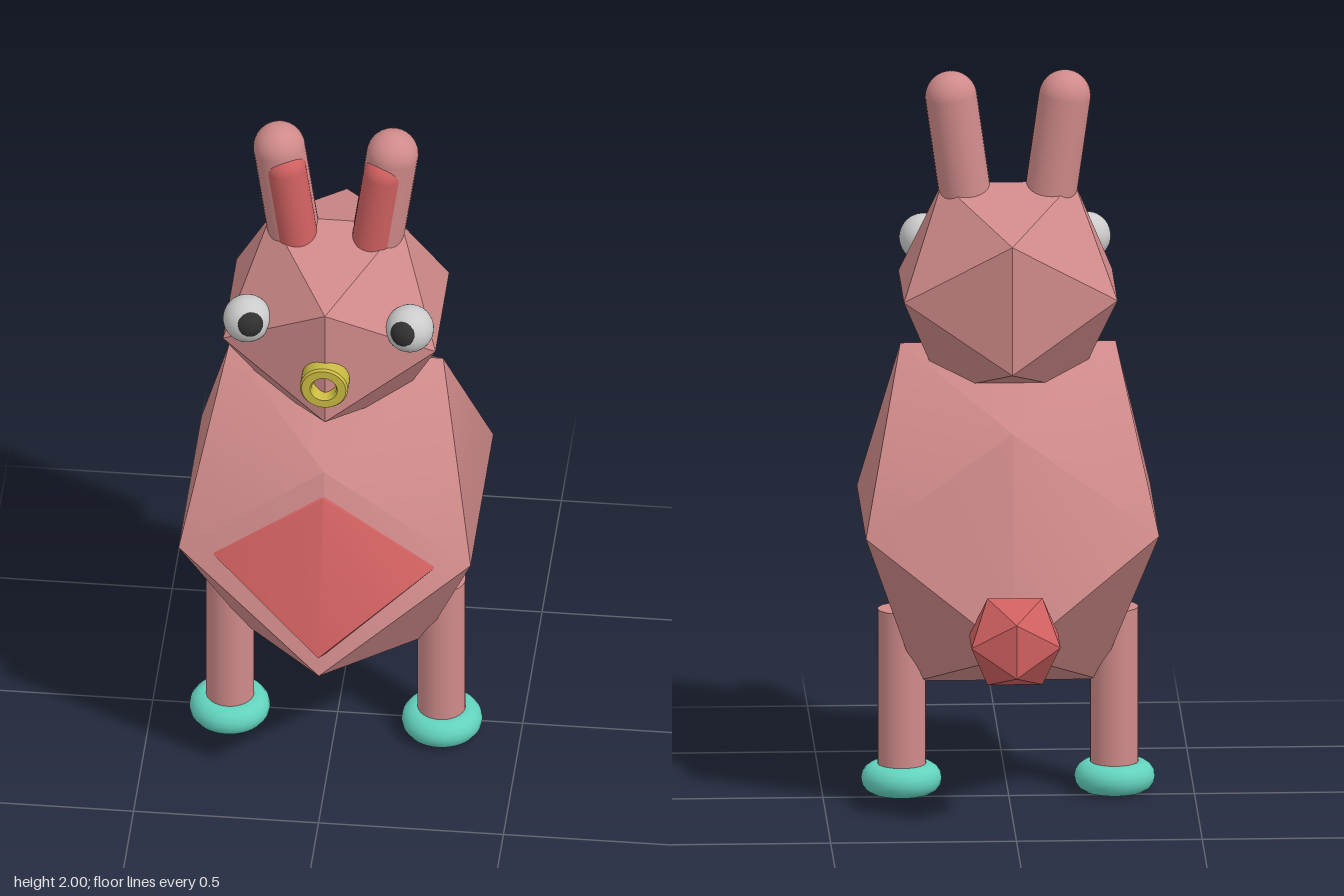
import * as THREE from 'three';
import { toCreasedNormals } from 'three/addons/utils/BufferGeometryUtils.js';

const mat = (color, flatShading = false) => new THREE.MeshStandardMaterial({ color, flatShading });
const PINK = 0xd08a8a, RED = 0xd06060, TEAL = 0x62d2bd, YELLOW = 0xcabb42;
const Z = 0.047; // depth of the body axis

// Icosahedron whose five vertex levels each get their own width and depth
function bodyGeometry() {
  const width = [0.244, 0.244, 0.244, 0.244, 0.29];
  const depth = [0.295, 0.275, 0.295, 0.188, 0.295];
  const geo = new THREE.IcosahedronGeometry(Math.hypot(1, 1.618), 0);
  const p = geo.attributes.position;
  for (let i = 0; i < p.count; i++) {
    const level = Math.round(p.getY(i)) + 2;
    p.setXYZ(i, p.getX(i) * width[level], p.getY(i) * 0.29, p.getZ(i) * depth[level]);
  }
  return toCreasedNormals(geo, 0.6);
}

export function createModel() {
  const model = new THREE.Group();
  const add = (name, geo, material, x, y, z) => {
    const mesh = new THREE.Mesh(geo, material);
    mesh.name = name;
    mesh.position.set(x, y, z);
    model.add(mesh);
    return mesh;
  };

  // Body and the smaller copy that pokes out as the belly patch
  const body = bodyGeometry();
  add('body', body, mat(PINK), 0, 0.78, Z);
  add('bellyPatch', body, mat(RED), 0, 0.78, 0.075).scale.set(0.755, 0.745, 0.98);

  // Head and tail
  add('head', new THREE.IcosahedronGeometry(0.338, 0), mat(PINK, true), 0, 1.405, Z);
  add('tail', new THREE.IcosahedronGeometry(0.141, 0), mat(RED, true), 0, 0.53, -0.397);

  // Ring-shaped snout
  const ring = [[0.033, 0], [0.065, 0], [0.065, 0.046], [0.06, 0.053], [0.037, 0.053], [0.033, 0.046], [0.033, 0]];
  const snout = new THREE.LatheGeometry(ring.map(([r, h]) => new THREE.Vector2(r, h)), 32);
  snout.rotateX(Math.PI / 2);
  add('snout', toCreasedNormals(snout, 0.6), mat(YELLOW), 0, 1.36, 0.313);

  // Capsule running between two heights along the tilted ear axis
  const ear = (name, side, radius, low, high, shift, z, color) => {
    const axisX = (y) => 0.153 + (y - 1.93) * 0.14 + shift;
    const length = Math.hypot(high - low, axisX(high) - axisX(low));
    const mid = (low + high) / 2;
    add(name, new THREE.CapsuleGeometry(radius, length, 10, 28), mat(color), side * axisX(mid), mid, z)
      .rotation.z = -side * Math.atan(0.14);
  };

  for (const side of [1, -1]) {
    const label = side > 0 ? 'left' : 'right';

    // Ears
    ear(label + 'Ear', side, 0.07, 1.58, 1.93, 0, Z + 0.003, PINK);
    ear(label + 'InnerEar', side, 0.055, 1.62, 1.885, -0.014, 0.08, RED);

    // Eyes
    add(label + 'Eye', new THREE.SphereGeometry(0.065, 32, 20), mat(0xe8e8e8), side * 0.22, 1.492, 0.243);
    add(label + 'Pupil', new THREE.SphereGeometry(0.045, 28, 18), mat(0x303030), side * 0.213, 1.5, 0.267);

    // Legs and ring feet
    add(label + 'Leg', new THREE.CylinderGeometry(0.065, 0.065, 0.462, 32), mat(PINK), side * 0.286, 0.281, 0.05);
    add(label + 'Foot', new THREE.TorusGeometry(0.068, 0.041, 16, 40), mat(TEAL), side * 0.287, 0.043, 0.05)
      .rotation.x = Math.PI / 2;
  }
  return model;
}
